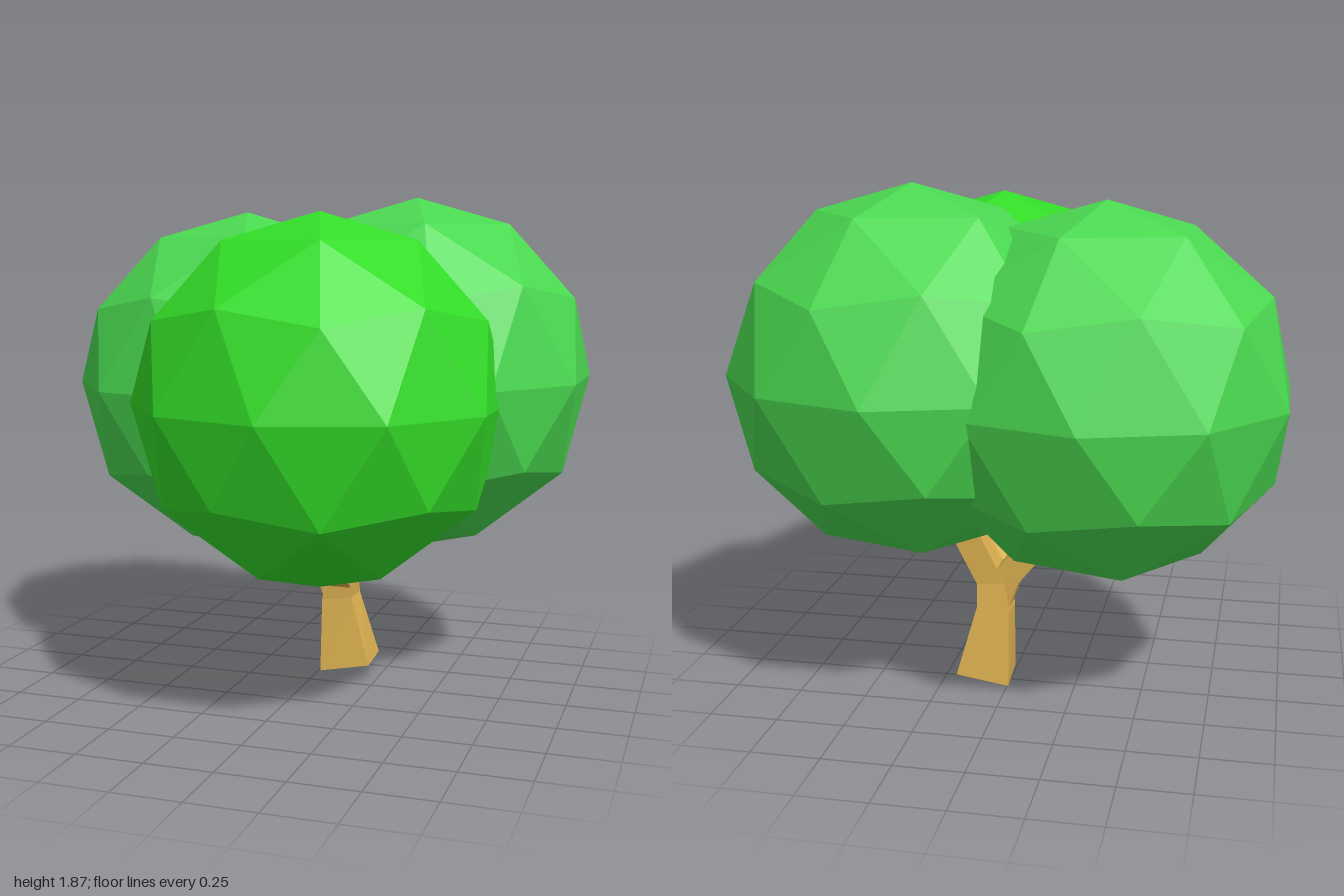
import * as THREE from 'three';

// Square-section limb; each ring is [x, y, z, width, tiltX, tiltZ, yaw]
function limb(name, rings, material) {
  const corners = [[1, 1], [1, -1], [-1, -1], [-1, 1]];
  const loops = rings.map(([x, y, z, w, tx = 0, tz = 0, yaw = 0]) =>
    corners.map(([cx, cz]) => new THREE.Vector3(cx * w / 2, 0, cz * w / 2)
      .applyEuler(new THREE.Euler(tx, yaw, tz))
      .add(new THREE.Vector3(x, y, z))));
  const positions = [];
  const quad = (a, b, c, d) => [a, b, c, a, c, d].forEach((p) => positions.push(p.x, p.y, p.z));
  for (let r = 0; r < loops.length - 1; r++) {
    for (let i = 0; i < 4; i++) {
      const j = (i + 1) % 4;
      quad(loops[r][i], loops[r][j], loops[r + 1][j], loops[r + 1][i]);
    }
  }
  const first = loops[0], last = loops[loops.length - 1];
  quad(first[3], first[2], first[1], first[0]);
  quad(...last);
  const geometry = new THREE.BufferGeometry();
  geometry.setAttribute('position', new THREE.Float32BufferAttribute(positions, 3));
  geometry.computeVertexNormals();
  const mesh = new THREE.Mesh(geometry, material);
  mesh.name = name;
  return mesh;
}

export function createModel() {
  const tree = new THREE.Group();
  tree.name = 'tree';
  const paint = (color) => new THREE.MeshStandardMaterial({ color, flatShading: true });
  const wood = paint(0xdcb050);
  const backLeaves = paint(0x4ad850);
  const frontLeaves = paint(0x33dc28);

  // Leaning trunk that carries on up as the right-hand bough
  tree.add(limb('trunk', [
    [0.1, 0.02, -0.22, 0.2, 0, 0.18, 0.06],
    [0.06, 0.29, -0.225, 0.123, 0, 0.12],
    [0.07, 0.39, -0.22, 0.105, 0, -0.1],
    [0.2, 0.64, -0.22, 0.1, 0, -0.45],
  ], wood));

  // Bough towards -x
  tree.add(limb('sideBranch', [
    [0.05, 0.31, -0.22, 0.1, 0, 0.2],
    [0.01, 0.42, -0.22, 0.1, 0, 0.45],
    [-0.14, 0.59, -0.23, 0.08, 0, 0.75],
  ], wood));

  // Bough towards the front
  tree.add(limb('frontBranch', [
    [0.075, 0.36, -0.2, 0.085, 0.5],
    [0.078, 0.42, -0.13, 0.085, 1.0],
    [0.1, 0.58, 0.12, 0.085, 1.0],
  ], wood));

  // Faceted leaf crowns, turned so a corner points straight up
  const crownShape = new THREE.IcosahedronGeometry(0.68, 1);
  crownShape.rotateZ(-Math.atan(2 / (1 + Math.sqrt(5))));
  [
    ['frontCrown', 0.125, 1.13, 0.27, frontLeaves],
    ['leftBackCrown', 0.35, 1.19, -0.26, backLeaves],
    ['rightBackCrown', -0.35, 1.14, -0.27, backLeaves],
  ].forEach(([name, x, y, z, material]) => {
    const crown = new THREE.Mesh(crownShape, material);
    crown.name = name;
    crown.position.set(x, y, z);
    tree.add(crown);
  });

  return tree;
}
